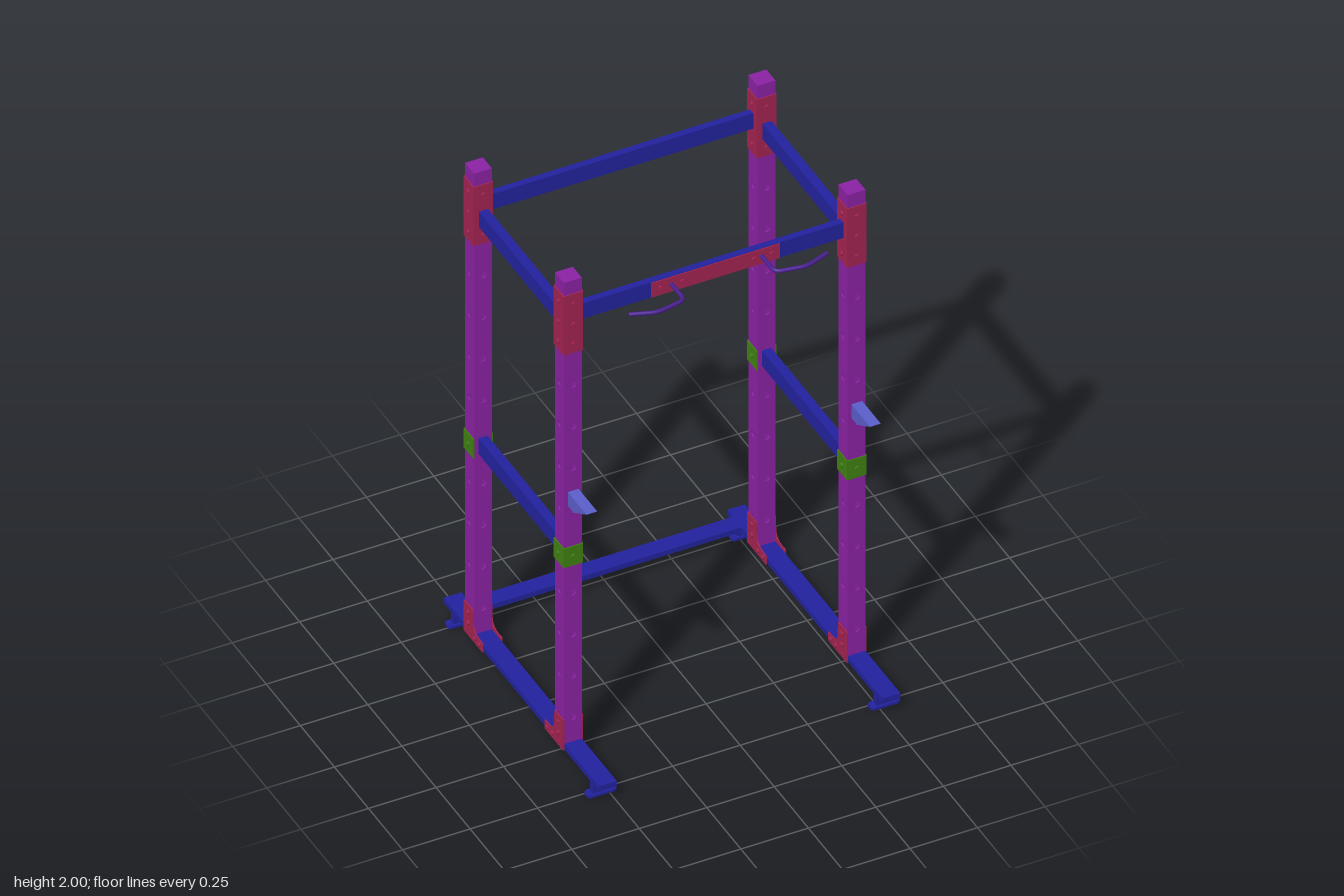
import * as THREE from 'three';

const mat = (color) => new THREE.MeshStandardMaterial({ color });
const PURPLE = mat(0x8a22a2), BLUE = mat(0x22229e), RED = mat(0xa32350);
const GREEN = mat(0x3f8012), HOOK = mat(0x5a5ec8), HANDLE = mat(0x4a1f90);

const POST_X = 0.525, POST_Z = [0.28, -0.38], W = 0.066, T = 0.005;
const BASE_TOP = 0.07, TOP = 2, HOLE_PITCH = 0.1738;

function add(parent, name, geometry, material, x = 0, y = 0, z = 0) {
  const mesh = new THREE.Mesh(geometry, material);
  mesh.name = name;
  mesh.position.set(x, y, z);
  parent.add(mesh);
  return mesh;
}
const box = (parent, name, material, size, pos) =>
  add(parent, name, new THREE.BoxGeometry(...size), material, ...pos);

const extrude = (shape, depth) =>
  new THREE.ExtrudeGeometry(shape, { depth, bevelEnabled: false, curveSegments: 10 });

// Bolt head whose axis points along +z
const boltGeometry = new THREE.CylinderGeometry(0.009, 0.009, 0.009, 10).rotateX(Math.PI / 2);

// Perforated wall of a hollow post; four copies turned by 90 degrees close the tube
function wallGeometry() {
  const s = new THREE.Shape();
  s.moveTo(-W / 2, BASE_TOP);
  s.lineTo(W / 2 - T, BASE_TOP);
  s.lineTo(W / 2 - T, TOP - T);
  s.lineTo(-W / 2, TOP - T);
  for (let i = 0; i < 11; i++) {
    const hole = new THREE.Path();
    hole.absarc(0, 0.172 + i * HOLE_PITCH, 0.0125, 0, Math.PI * 2, true);
    s.holes.push(hole);
  }
  return extrude(s, T).translate(0, 0, W / 2 - T);
}
const wall = wallGeometry();

function makePost() {
  const post = new THREE.Group();
  post.name = 'post';
  for (let i = 0; i < 4; i++) {
    add(post, 'postWall', wall, PURPLE).rotation.y = i * Math.PI / 2;
  }
  box(post, 'postCap', PURPLE, [W, T, W], [0, TOP - T / 2, 0]);
  return post;
}

// Bolted sleeve of plates around a post; sides are quarter turns from the front
function makeSleeve(name, material, yMin, yMax, sides, bolts) {
  const sleeve = new THREE.Group();
  sleeve.name = name;
  for (const i of sides) {
    const side = new THREE.Group();
    side.rotation.y = i * Math.PI / 2;
    box(side, 'plate', material, [W + 0.004, yMax - yMin, 0.004], [0, (yMin + yMax) / 2, W / 2 + 0.002]);
    for (const y of bolts) add(side, 'bolt', boltGeometry, material, 0, y, W / 2 + 0.006);
    sleeve.add(side);
  }
  return sleeve;
}

// L-shaped foot bracket: one plate on each side of the post, toe towards -z
function makeFootBracket() {
  const g = new THREE.Group();
  g.name = 'footBracket';
  const s = new THREE.Shape();
  s.moveTo(-0.035, 0.045);
  s.lineTo(0.103, 0.045);
  s.lineTo(0.103, 0.08);
  s.lineTo(0.065, 0.084);
  s.quadraticCurveTo(0.035, 0.086, 0.032, 0.12);
  s.lineTo(0.03, 0.172);
  s.lineTo(-0.035, 0.172);
  const plate = extrude(s, 0.004).rotateY(Math.PI / 2);
  for (const sx of [-1, 1]) {
    add(g, 'bracketPlate', plate, RED, sx * (W / 2 + 0.002) - 0.002, 0, 0);
    for (const [z, y] of [[0, 0.145], [0, 0.1], [-0.045, 0.065], [-0.082, 0.065]]) {
      add(g, 'bolt', boltGeometry, RED, sx * (W / 2 + 0.006), y, z).rotation.y = sx * Math.PI / 2;
    }
  }
  return g;
}

// Foot: upright web on a flat pad with rounded corners
function makeFoot() {
  const g = new THREE.Group();
  g.name = 'foot';
  const a = 0.054, b = 0.019, r = 0.012, s = new THREE.Shape();
  s.absarc(a - r, b - r, r, 0, Math.PI / 2);
  s.absarc(-a + r, b - r, r, Math.PI / 2, Math.PI);
  s.absarc(-a + r, -b + r, r, Math.PI, Math.PI * 1.5);
  s.absarc(a - r, -b + r, r, Math.PI * 1.5, Math.PI * 2);
  add(g, 'footPad', extrude(s, 0.01).rotateX(-Math.PI / 2), BLUE);
  box(g, 'footWeb', BLUE, [W, 0.042, 0.02], [0, 0.03, 0]);
  return g;
}

// Wedge-shaped bar rest, side profile drawn in z and y
function hookGeometry() {
  const s = new THREE.Shape();
  s.moveTo(-0.315, 1.065);
  s.lineTo(-0.315, 1.122);
  s.lineTo(-0.452, 1.122);
  s.lineTo(-0.357, 1.065);
  return extrude(s, 0.04).rotateY(Math.PI / 2).translate(-0.02, 0, 0);
}

// Bent pull-up handle, dir is the side it sweeps to
function handleGeometry(x, dir) {
  const p = (dx, z) => new THREE.Vector3(x + dir * dx, 1.84, z);
  const path = new THREE.CurvePath();
  path.add(new THREE.LineCurve3(p(0, 0.29), p(0, 0.365)));
  path.add(new THREE.QuadraticBezierCurve3(p(0, 0.365), p(0, 0.39), p(0.025, 0.394)));
  path.add(new THREE.LineCurve3(p(0.025, 0.394), p(0.085, 0.405)));
  path.add(new THREE.QuadraticBezierCurve3(p(0.085, 0.405), p(0.108, 0.409), p(0.13, 0.402)));
  path.add(new THREE.LineCurve3(p(0.13, 0.402), p(0.2, 0.377)));
  return new THREE.TubeGeometry(path, 40, 0.0075, 10, false);
}

export function createModel() {
  const model = new THREE.Group();
  model.name = 'powerRack';
  const [zF, zB] = POST_Z, zMid = (zF + zB) / 2, sideLen = zF - zB - W;
  const hook = hookGeometry();

  for (const sx of [-1, 1]) {
    const side = new THREE.Group();
    side.name = sx > 0 ? 'leftSide' : 'rightSide';
    side.position.x = sx * POST_X;
    model.add(side);

    // Base rail with its feet
    box(side, 'baseRail', BLUE, [W, 0.022, 1.14], [0, 0.06, 0]);
    for (const z of [0.515, -0.507]) {
      const foot = makeFoot();
      foot.position.z = z;
      side.add(foot);
    }

    // Posts with brackets; the rear one is turned to face backwards
    for (const z of POST_Z) {
      const corner = new THREE.Group();
      corner.name = z > 0 ? 'frontPost' : 'rearPost';
      corner.position.z = z;
      corner.rotation.y = z > 0 ? 0 : Math.PI;
      corner.add(makePost(), makeFootBracket());
      corner.add(makeSleeve('topBracket', RED, 1.7, 1.945, [0, 1, 2, 3], [1.905, 1.82, 1.737]));
      corner.add(makeSleeve('middleBracket', GREEN, 0.81, 0.89, [0, 1, 3], [0.85]));
      side.add(corner);
    }

    // Side beams
    box(side, 'upperSideBeam', BLUE, [0.034, 0.064, sideLen], [0, 1.807, zMid]);
    box(side, 'middleSideBeam', BLUE, [0.034, 0.064, sideLen], [0, 0.855, zMid]);

    add(side, 'barRest', hook, HOOK);
  }

  // Cross beams
  for (const z of POST_Z) {
    box(model, 'upperCrossBeam', BLUE, [2 * POST_X - W, 0.064, 0.025], [0, 1.838, z - 0.003]);
  }
  box(model, 'baseCrossBeam', BLUE, [2 * POST_X - W, 0.02, 0.064], [0, 0.06, -0.498]);

  // Pull-up plate, bolts and handles
  box(model, 'handlePlate', RED, [0.476, 0.06, 0.004], [0.014, 1.838, 0.2915]);
  for (const x of [-0.19, -0.11, 0.156, 0.222]) add(model, 'bolt', boltGeometry, RED, x, 1.838, 0.295);
  for (const [x, dir] of [[-0.15, -1], [0.184, 1]]) {
    const handle = add(model, 'pullUpHandle', handleGeometry(x, dir), HANDLE);
    const cap = new THREE.CircleGeometry(0.0075, 10);
    add(handle, 'handleEnd', cap, HANDLE, x + dir * 0.2, 1.84, 0.377).rotation.y = dir * 1.91;
  }
  return model;
}
